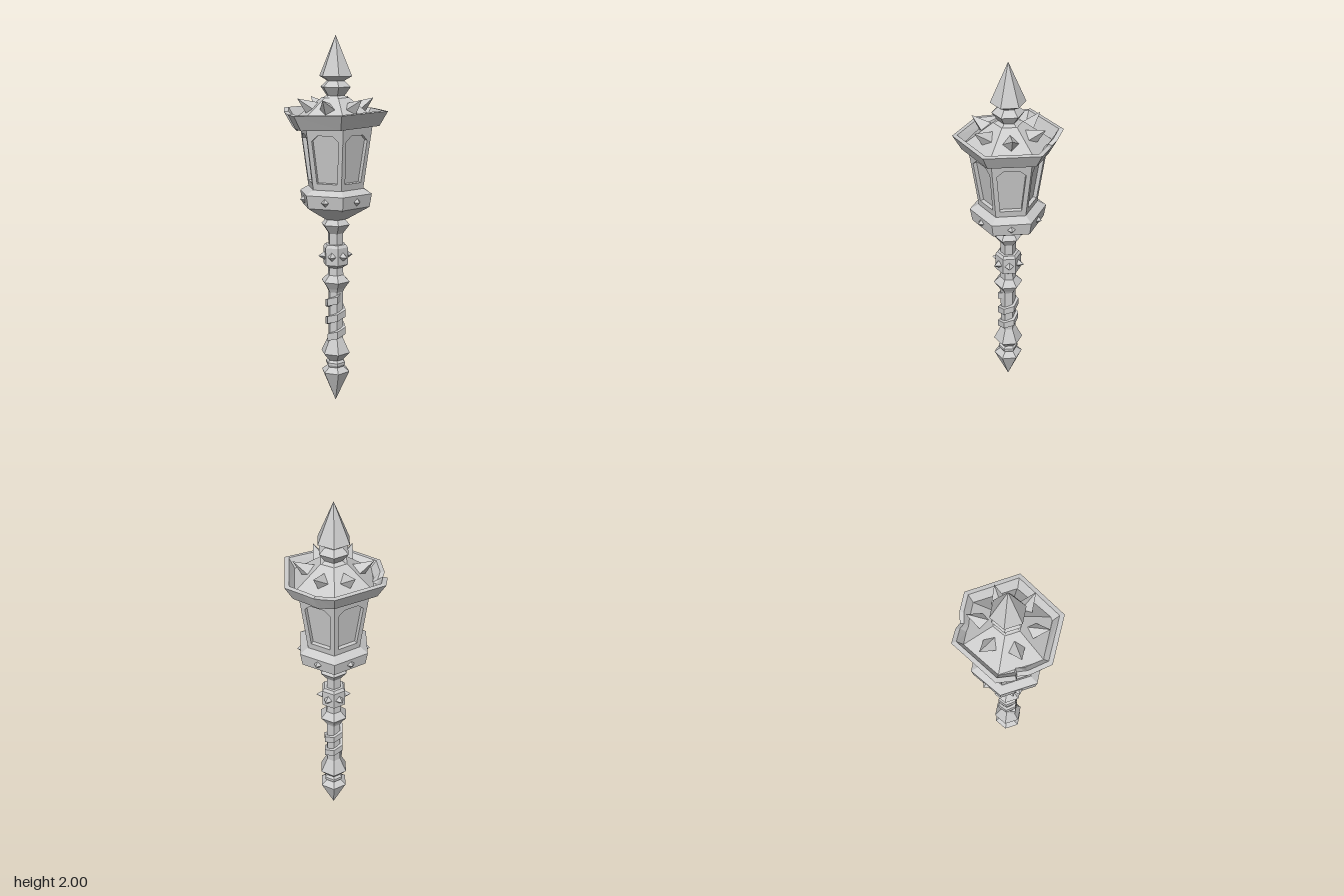
import * as THREE from 'three';

const SIDES = 6;
const grey = new THREE.MeshStandardMaterial({ color: 0xcccccc, flatShading: true });

function add(parent, name, geometry) {
  const mesh = new THREE.Mesh(geometry, grey);
  mesh.name = name;
  parent.add(mesh);
  return mesh;
}

// Six-sided turned part from [radius, height] pairs, bottom to top
function turned(parent, name, profile) {
  return add(parent, name, new THREE.LatheGeometry(profile.map(([r, y]) => new THREE.Vector2(r, y)), SIDES));
}

// Skin between successive cross-sections, each a list of [x, y, z]
function loft(sections, closed) {
  const n = sections[0].length;
  const index = [];
  const count = closed ? sections.length : sections.length - 1;
  for (let i = 0; i < count; i++) {
    const next = (i + 1) % sections.length;
    for (let j = 0; j < n - 1; j++) {
      const a = i * n + j, b = next * n + j;
      index.push(a, b, a + 1, b + 1, a + 1, b);
    }
  }
  const geometry = new THREE.BufferGeometry();
  geometry.setAttribute('position', new THREE.Float32BufferAttribute(sections.flat(2), 3));
  geometry.setIndex(index);
  geometry.computeVertexNormals();
  return geometry;
}

// One four-sided spike in the middle of each face; start and tip are [distance out, height]
function spikeRing(parent, name, start, tip, radius) {
  const out = tip[0] - start[0], up = tip[1] - start[1];
  const length = Math.hypot(out, up);
  const geometry = new THREE.ConeGeometry(radius, length, 4);
  geometry.translate(0, length / 2, 0);
  geometry.rotateX(Math.atan2(out, up));
  geometry.translate(0, start[1], start[0]);
  const ring = new THREE.Group();
  ring.name = name;
  for (let i = 0; i < SIDES; i++) {
    add(ring, 'spike', geometry).rotation.y = (i + 0.5) * Math.PI / 3;
  }
  parent.add(ring);
}

export function createModel() {
  const model = new THREE.Group();
  model.name = 'lanternMace';

  // Handle, from the pommel point up to the neck
  turned(model, 'pommelSpike', [[0, 0], [0.08, 0.175], [0.042, 0.205]]);
  turned(model, 'pommelRings', [
    [0.042, 0.195], [0.055, 0.215], [0.055, 0.228], [0.042, 0.24],
    [0.082, 0.285], [0.048, 0.355], [0.04, 0.37],
  ]);
  turned(model, 'grip', [[0.042, 0.35], [0.042, 0.65]]);
  turned(model, 'upperKnob', [[0.042, 0.63], [0.052, 0.65], [0.08, 0.69], [0.045, 0.725], [0.04, 0.79]]);
  turned(model, 'collar', [[0.04, 0.765], [0.07, 0.785], [0.07, 0.88], [0.058, 0.895], [0.04, 0.895]]);
  turned(model, 'neck', [[0.042, 0.88], [0.042, 0.955], [0.08, 1.005], [0.058, 1.03], [0.05, 1.05]]);
  spikeRing(model, 'collarSpikes', [0.055, 0.832], [0.095, 0.832], 0.028);

  // Strap spiralling round the grip; both ends sink into it
  const strap = [];
  const steps = 15;
  for (let i = 0; i <= steps; i++) {
    const angle = (i - 1) * Math.PI / 3;
    const y = 0.36 + i * 0.0165;
    const r = i === 0 || i === steps ? 0.036 : 0.058;
    strap.push([[0.035, -0.026], [r, -0.02], [r, 0.02], [0.035, 0.026]]
      .map(([d, h]) => [d * Math.sin(angle), y + h, d * Math.cos(angle)]));
  }
  add(model, 'gripStrap', loft(strap, false));

  // Lantern base
  turned(model, 'lanternBase', [
    [0, 1.03], [0.065, 1.035], [0.175, 1.1], [0.19, 1.11], [0.202, 1.18], [0.16, 1.205], [0, 1.21],
  ]);
  spikeRing(model, 'baseStuds', [0.155, 1.147], [0.192, 1.144], 0.036);

  // Window panes set back behind six framed sides
  turned(model, 'windowPanes', [[0.13, 1.2], [0.178, 1.54]]);
  const wall = new THREE.Shape();
  wall.moveTo(-0.077, 0).lineTo(0.077, 0).lineTo(0.101, 0.335).lineTo(-0.101, 0.335);
  const opening = new THREE.Path();
  opening.moveTo(-0.055, 0.04).lineTo(-0.073, 0.265).lineTo(-0.04, 0.295)
    .lineTo(0.04, 0.295).lineTo(0.073, 0.265).lineTo(0.055, 0.04);
  wall.holes.push(opening);
  const frame = new THREE.ExtrudeGeometry(wall, { depth: 0.022, bevelEnabled: false });
  frame.translate(0, 0, -0.022);
  frame.rotateX(Math.atan2(0.042, 0.335));
  frame.translate(0, 1.2, 0.133);
  const frames = new THREE.Group();
  frames.name = 'windowFrames';
  for (let i = 0; i < SIDES; i++) {
    add(frames, 'windowFrame', frame).rotation.y = (i + 0.5) * Math.PI / 3;
  }
  model.add(frames);

  // Battered roof rim: outer corners as [x, z, top height], with two notches on the right side
  const corners = [
    [0, 0.28, 1.595], [0.23, 0.16, 1.605], [0.25, -0.14, 1.615], [0, -0.28, 1.61],
    [-0.09, -0.23, 1.605], [-0.13, -0.192, 1.59], [-0.17, -0.184, 1.605], [-0.243, -0.142, 1.625],
    [-0.252, 0.146, 1.62], [-0.176, 0.206, 1.605], [-0.15, 0.19, 1.58], [-0.11, 0.233, 1.595],
  ];
  const rim = corners.map(([x, z, top]) => [
    [0.62, 1.53], [0.84, top - 0.077], [1, top], [0.91, top + 0.003], [0.79, 1.565], [0.7, 1.565],
  ].map(([s, y]) => [x * s, y, z * s]));
  add(model, 'roofRim', loft(rim, true));

  // Roof, its spikes and the finial
  turned(model, 'roof', [[0.235, 1.56], [0.075, 1.68], [0, 1.685]]);
  spikeRing(model, 'roofSpikes', [0.112, 1.612], [0.203, 1.676], 0.05);
  turned(model, 'finialRing', [[0.075, 1.675], [0.05, 1.69], [0.083, 1.735], [0.05, 1.765], [0.045, 1.79]]);
  turned(model, 'finialSpike', [[0.045, 1.765], [0.09, 1.79], [0, 2]]);

  return model;
}
